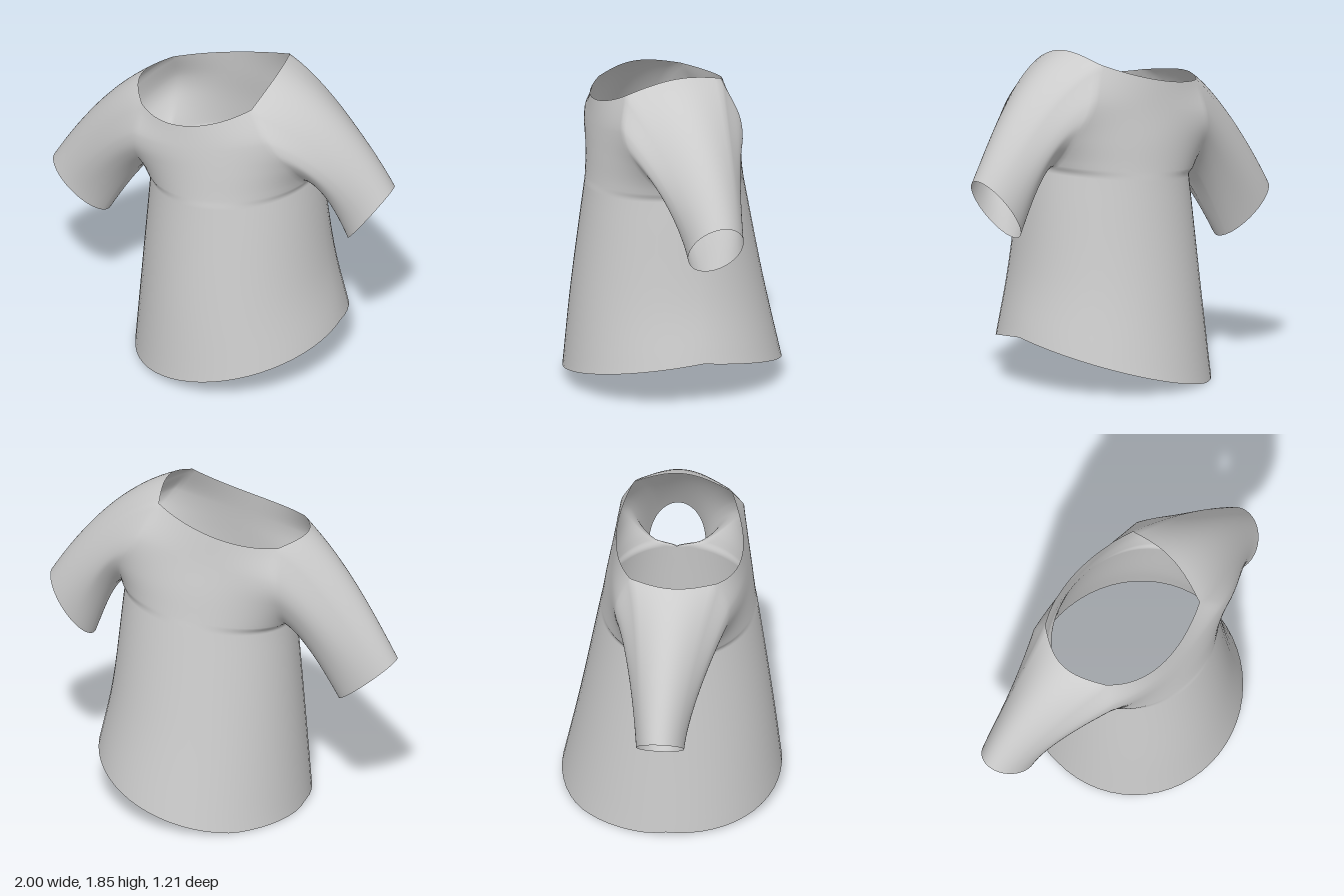
import * as THREE from 'three';
import { mergeGeometries, mergeVertices } from 'three/addons/utils/BufferGeometryUtils.js';

const STEPS = 6;   // subdivisions between two key rows
const ARM = 2;     // key row of the underarm
const LAST = 6;    // key row of the neckline
const COLS = 28;
const lerp = THREE.MathUtils.lerp;

// Key rows, hem to neck: [height knot, left edge x y z, right edge x y z, centre depth, sag, straightness]
const FRONT = [
  [0.00, 0.70, 0.29, 0, -0.47, 0.015, 0, 0.605, -0.05, 0],
  [0.55, 0.625, 0.65, 0, -0.433, 0.5, 0, 0.555, -0.02, 0],
  [1.15, 0.565, 1.21, 0, -0.39, 1.1, 0, 0.475, 0, 0],
  [1.21, 0.555, 1.26, 0.15, -0.39, 1.15, 0.15, 0.465, 0, 0.3],
  [1.355, 0.525, 1.43, 0.32, -0.39, 1.29, 0.3, 0.445, 0, 0.7],
  [1.525, 0.42, 1.6, 0.38, -0.385, 1.45, 0.345, 0.425, -0.03, 0.9],
  [1.63, 0.3, 1.77, 0.32, -0.37, 1.615, 0.27, 0.4, -0.065, 0.7],
];
const BACK = [
  [0.00, 0.70, 0.29, 0, -0.47, 0.015, 0, 0.605, -0.09, 0],
  [0.55, 0.625, 0.65, 0, -0.433, 0.5, 0, 0.505, -0.02, 0],
  [1.15, 0.565, 1.21, 0, -0.39, 1.1, 0, 0.395, 0, 0],
  [1.21, 0.555, 1.26, 0.13, -0.39, 1.15, 0.14, 0.385, 0, 0.3],
  [1.355, 0.525, 1.42, 0.26, -0.39, 1.29, 0.25, 0.36, 0, 0.7],
  [1.525, 0.42, 1.6, 0.3, -0.385, 1.45, 0.28, 0.325, 0, 0.9],
  [1.67, 0.31, 1.81, 0.22, -0.375, 1.635, 0.2, 0.297, -0.03, 0.7],
];

function hermite(p0, m0, p1, m1, t) {
  const a = t * t, b = a * t;
  return (2 * b - 3 * a + 1) * p0 + (b - 2 * a + t) * m0 + (3 * a - 2 * b) * p1 + (b - a) * m1;
}

// Smooth interpolation of the key rows at a fractional row v
function rowAt(rows, v) {
  const i = Math.min(Math.floor(v), LAST - 1);
  const slope = (n, f) => {
    const a = rows[Math.max(n - 1, 0)], b = rows[Math.min(n + 1, LAST)];
    return (b[f] - a[f]) / (b[0] - a[0]);
  };
  const span = rows[i + 1][0] - rows[i][0];
  return rows[i].map((p, f) =>
    hermite(p, slope(i, f) * span, rows[i + 1][f], slope(i + 1, f) * span, v - i));
}

// Point of the front (side 1) or back (side -1) panel; t runs from +x edge to -x edge
function panelPoint(rows, side, v, t) {
  const [, ax, ay, az, bx, by, bz, depth, sag, straight] = rowAt(rows, v);
  const seam = v <= ARM + 1e-6;
  const za = seam ? 0 : Math.max(0, az), zb = seam ? 0 : Math.max(0, bz);
  const f = (1 - lerp(Math.cos(Math.PI * t), 1 - 2 * t, THREE.MathUtils.clamp(straight, 0, 1))) / 2;
  const s = t === 0 || t === 1 ? 0 : Math.sin(Math.PI * t);
  const edge = lerp(za, zb, f);
  return new THREE.Vector3(
    lerp(ax, bx, f),
    Math.max(0, lerp(ay, by, f) + sag * s),
    side * (edge + (depth - edge) * s));
}

// Indexed surface from a point rule; flip reverses the facing
function grid(point, rows, cols, flip) {
  const pos = [], index = [];
  for (let i = 0; i <= rows; i++)
    for (let j = 0; j <= cols; j++) pos.push(...point(i, j).toArray());
  for (let i = 0; i < rows; i++)
    for (let j = 0; j < cols; j++) {
      const a = i * (cols + 1) + j, b = a + cols + 1;
      if (flip) index.push(a, a + 1, b, a + 1, b + 1, b);
      else index.push(a, b, a + 1, a + 1, b, b + 1);
    }
  const geo = new THREE.BufferGeometry();
  geo.setAttribute('position', new THREE.Float32BufferAttribute(pos, 3));
  geo.setIndex(index);
  return geo;
}

function panel(rows, side) {
  return grid((i, j) => panelPoint(rows, side, i / STEPS, j / COLS), LAST * STEPS, COLS, side < 0);
}

// Armhole loop: underarm, front edge, shoulder side of the neckline, back edge, underarm
function armhole(t, bulge) {
  const front = [], back = [], over = [];
  for (let i = ARM * STEPS; i <= LAST * STEPS; i++) {
    front.push(panelPoint(FRONT, 1, i / STEPS, t));
    back.unshift(panelPoint(BACK, -1, i / STEPS, t));
  }
  const a = front[front.length - 1], b = back[0];
  for (let k = 1; k < 16; k++)
    over.push(a.clone().lerp(b, k / 16).addScaledVector(bulge, Math.sin(Math.PI * k / 16)));
  return [...front, ...over, ...back];
}

// Sleeve: every armhole point sweeps along its own curve to the slanted cuff
function sleeve(o) {
  const loop = armhole(o.edge, o.bulge);
  const len = [0];
  for (let j = 1; j < loop.length; j++) len.push(len[j - 1] + loop[j].distanceTo(loop[j - 1]));
  const total = len[len.length - 1];
  const centre = o.top.clone().add(o.bottom).multiplyScalar(0.5);
  const half = o.bottom.clone().sub(centre);
  const rings = 20;
  const point = (i, j) => {
    const phi = 2 * Math.PI * len[j] / total, c = Math.cos(phi), s = Math.sin(phi);
    const end = centre.clone().addScaledVector(half, c);
    end.z += o.width * s;
    const w = (1 - c) / 2;
    const m0 = o.leaveBottom.clone().lerp(o.leaveTop, w);
    const m1 = o.arriveBottom.clone().lerp(o.arriveTop, w);
    m0.z -= 0.2 * s;
    m1.z -= 0.06 * s;
    const p = loop[j], t = i / rings;
    if (i === 0) return p;
    return new THREE.Vector3(...['x', 'y', 'z'].map(k => hermite(p[k], m0[k], end[k], m1[k], t)));
  };
  return grid(point, rings, loop.length - 1, o.edge === 1);
}

export function createModel() {
  const V = (x, y, z = 0) => new THREE.Vector3(x, y, z);
  const parts = {
    frontPanel: panel(FRONT, 1),
    backPanel: panel(BACK, -1),
    leftSleeve: sleeve({
      edge: 0, bulge: V(0.04, 0.06), width: 0.155,
      top: V(1, 1.205, -0.015), bottom: V(0.75, 0.86, -0.015),
      leaveTop: V(0.85, -0.31), leaveBottom: V(0.22, -0.05),
      arriveTop: V(0.45, -0.75), arriveBottom: V(0.15, -0.42),
    }),
    rightSleeve: sleeve({
      edge: 1, bulge: V(-0.095, 0.015), width: 0.132,
      top: V(-1, 0.96, -0.01), bottom: V(-0.67, 0.69, -0.01),
      leaveTop: V(-0.6, -0.4), leaveBottom: V(-0.25, -0.18),
      arriveTop: V(-0.4, -0.72), arriveBottom: V(-0.25, -0.45),
    }),
  };

  // Weld the parts so that normals run smoothly across the seams
  const welded = mergeVertices(mergeGeometries(Object.values(parts)), 1e-4);
  welded.computeVertexNormals();

  const material = new THREE.MeshStandardMaterial({ color: 0xcccccc, side: THREE.DoubleSide });
  const shirt = new THREE.Group();
  shirt.name = 'shirt';
  let start = 0;
  for (const [name, part] of Object.entries(parts)) {
    const geo = new THREE.BufferGeometry();
    geo.setAttribute('position', welded.attributes.position);
    geo.setAttribute('normal', welded.attributes.normal);
    geo.setIndex(Array.from(welded.index.array.slice(start, start + part.index.count)));
    start += part.index.count;
    const mesh = new THREE.Mesh(geo, material);
    mesh.name = name;
    shirt.add(mesh);
  }
  return shirt;
}
